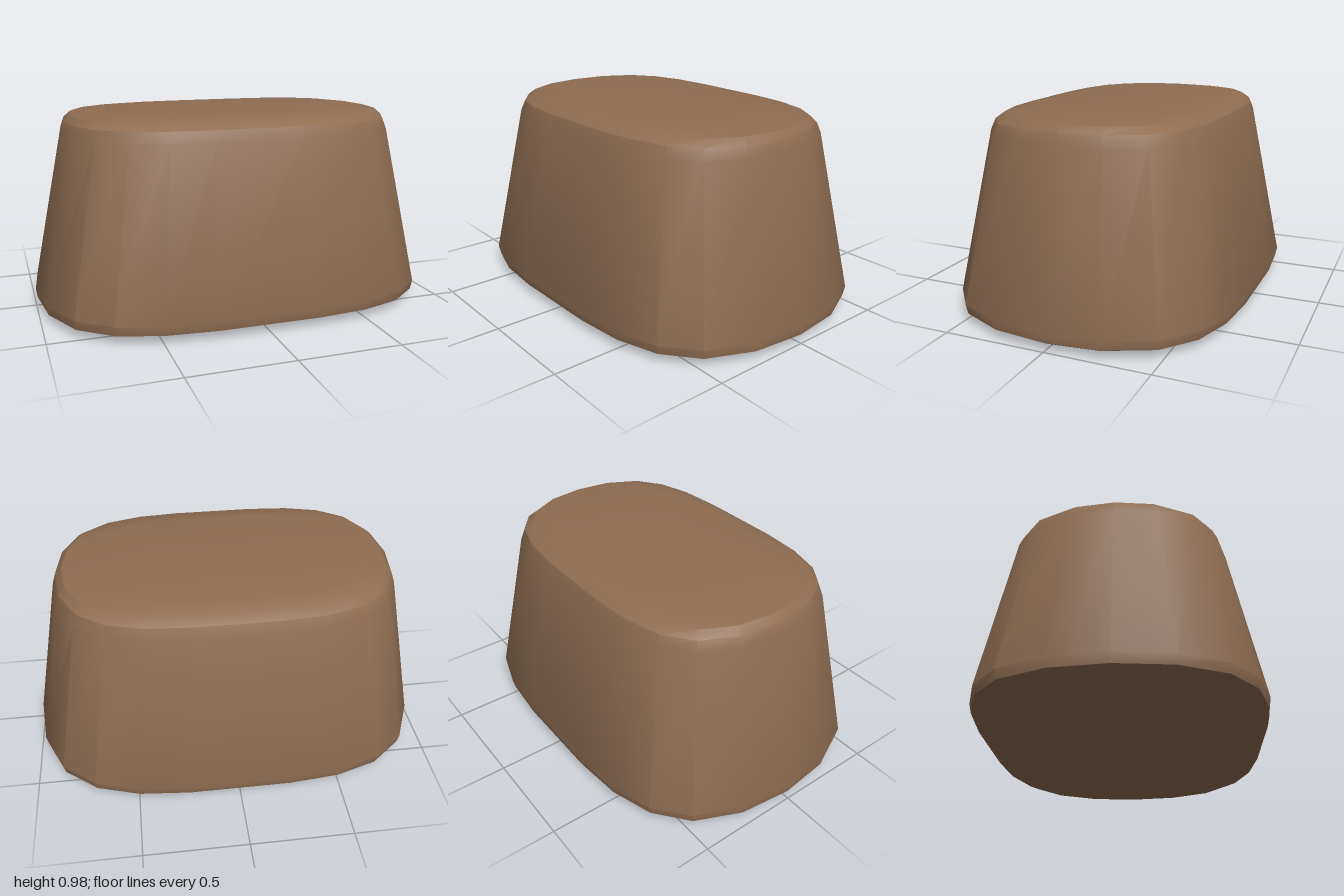
import * as THREE from 'three';
import { toCreasedNormals } from 'three/addons/utils/BufferGeometryUtils.js';

// One quarter of the rounded outline, at unit half-width and half-depth
const QUARTER = [[1, 0], [0.97, 0.375], [0.87, 0.69], [0.71, 0.875], [0.5, 0.968], [0.25, 1]];

// Cross-sections from bottom to top: height, half-width, half-depth
const SECTIONS = [
  [0.006, 0.6, 0.38],
  [0.011, 0.8, 0.52],
  [0.021, 0.95, 0.635],
  [0.045, 0.992, 0.69],
  [0.09, 1.0, 0.7],
  [0.88, 0.842, 0.545],
  [0.93, 0.825, 0.523],
  [0.96, 0.793, 0.48],
  [0.973, 0.69, 0.38],
  [0.982, 0.4, 0.2],
];

// Mirror the quarter into a closed loop
function outline() {
  const half = [...QUARTER, ...QUARTER.slice(1).reverse().map(([x, z]) => [-x, z])];
  return [...half, [-1, 0], ...half.slice(1).reverse().map(([x, z]) => [x, -z])];
}

function loft(loop, sections, bottomY, topY) {
  const n = loop.length;
  const positions = [];
  const index = [];
  for (const [y, w, d] of sections) for (const [x, z] of loop) positions.push(x * w, y, z * d);
  const bottom = sections.length * n;
  const top = bottom + 1;
  const lastRow = bottom - n;
  positions.push(0, bottomY, 0, 0, topY, 0);
  for (let i = 0; i < n; i++) {
    const j = (i + 1) % n;
    for (let s = 0; s < lastRow; s += n) {
      index.push(s + i, s + n + i, s + j, s + j, s + n + i, s + n + j);
    }
    // Gently crowned end caps
    index.push(bottom, i, j, top, lastRow + j, lastRow + i);
  }
  const geometry = new THREE.BufferGeometry();
  geometry.setAttribute('position', new THREE.Float32BufferAttribute(positions, 3));
  geometry.setIndex(index);
  return toCreasedNormals(geometry, 0.52);
}

export function createModel() {
  const group = new THREE.Group();
  group.name = 'taperedBlock';
  // Tapered rounded body with bevelled rims
  const body = new THREE.Mesh(
    loft(outline(), SECTIONS, 0.004, 0.985),
    new THREE.MeshStandardMaterial({ color: 0x8f6d52 })
  );
  body.name = 'body';
  group.add(body);
  return group;
}
